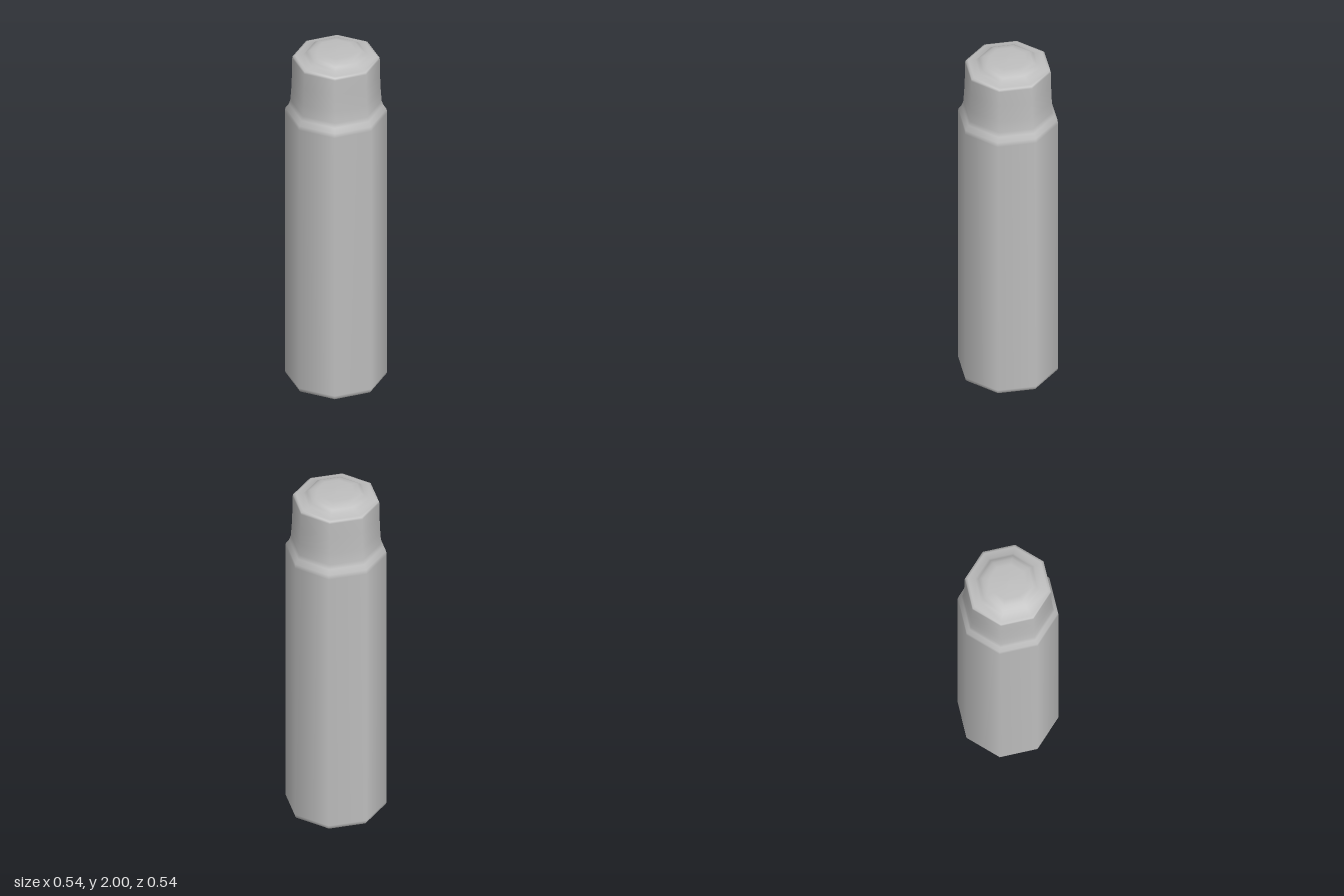
import * as THREE from 'three';

const SIDES = 8;
const TURN = -0.027; // slight twist of the octagon about the vertical axis

export function createModel() {
  const group = new THREE.Group();
  const grey = new THREE.MeshStandardMaterial({ color: 0xbfbfbf });
  grey.name = 'plain grey';

  // Turns a [radius, height] profile into an eight-sided part
  const turned = (name, profile) => {
    const points = profile.map(([r, y]) => new THREE.Vector2(r, y));
    const mesh = new THREE.Mesh(new THREE.LatheGeometry(points, SIDES, TURN), grey);
    mesh.name = name;
    group.add(mesh);
  };

  // Flat underside
  turned('base', [[0, 0], [0.26, 0]]);

  // Tall body, shoulder, narrower neck and low domed top
  turned('body', [
    [0.26, 0], [0.268, 0.01], [0.271, 0.025], [0.271, 1.61], [0.268, 1.635],
    [0.25, 1.66], [0.242, 1.685], [0.237, 1.75], [0.233, 1.85], [0.232, 1.94],
    [0.229, 1.952], [0.215, 1.957], [0.175, 1.963], [0.157, 1.979],
    [0.135, 1.991], [0.1, 1.998], [0, 2],
  ]);

  return group;
}
